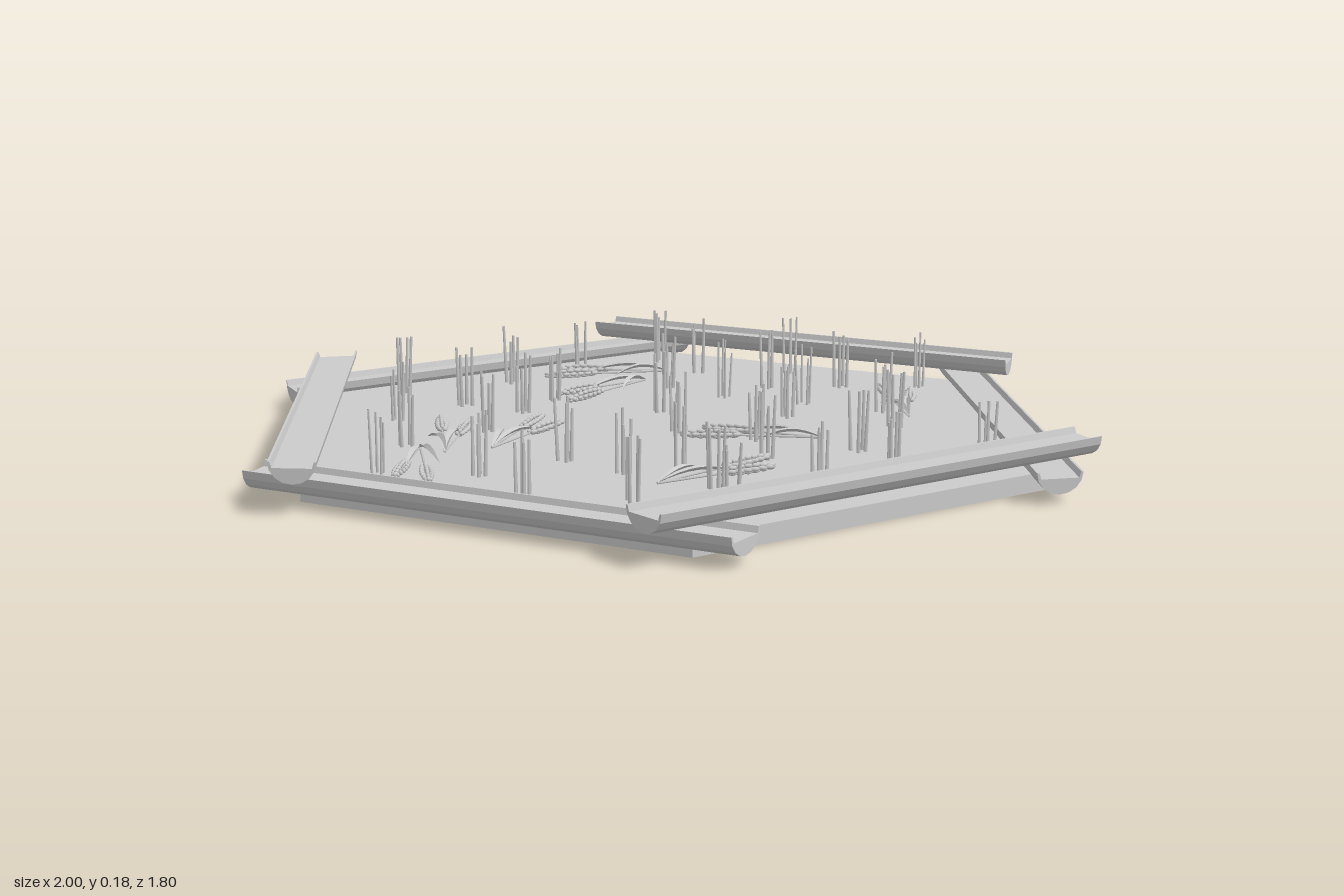
import * as THREE from 'three';
import { toCreasedNormals, mergeGeometries } from 'three/addons/utils/BufferGeometryUtils.js';

const FLOOR = 0.04;
const material = new THREE.MeshStandardMaterial({ color: 0xcccccc, side: THREE.DoubleSide });

function part(name, geometry) {
  const mesh = new THREE.Mesh(geometry, material);
  mesh.name = name;
  return mesh;
}

// Seeded random numbers from 0 to 1
let seed = 7;
function rand() {
  seed = (seed * 16807) % 2147483647;
  return seed / 2147483647;
}

// Half-round faceted log with a shallow trough on top, slightly shorter on its outer side
function logGeometry() {
  const r = 0.05, depth = 0.047, length = 1.125, sides = 8;
  const s = new THREE.Shape();
  for (let i = 0; i <= sides; i++) {
    const a = Math.PI * (1 + i / sides), x = Math.cos(a) * r, y = Math.sin(a) * depth;
    if (i === 0) s.moveTo(x, y);
    else s.lineTo(x, y);
  }
  s.lineTo(r - 0.005, 0);
  s.lineTo(r - 0.009, -0.013);
  s.lineTo(-r + 0.009, -0.013);
  s.lineTo(-r + 0.005, 0);
  s.closePath();
  const g = new THREE.ExtrudeGeometry(s, { depth: length, bevelEnabled: false });
  g.translate(0, 0, -length / 2);
  const p = g.attributes.position;
  for (let i = 0; i < p.count; i++) p.setZ(i, p.getZ(i) * (1 - 0.25 * p.getX(i)));
  return toCreasedNormals(g, 0.3);
}

// Thin straight stick between two points
function stick(a, b, r0, r1) {
  const d = new THREE.Vector3().subVectors(b, a);
  const g = new THREE.CylinderGeometry(r1, r0, d.length(), 4);
  g.applyQuaternion(new THREE.Quaternion().setFromUnitVectors(new THREE.Vector3(0, 1, 0), d.clone().normalize()));
  const m = a.clone().add(b).multiplyScalar(0.5);
  return g.translate(m.x, m.y, m.z);
}

// Cut stubble: four upright stalks, rooted just below the floor
function tuftGeometry() {
  const stalks = [];
  for (let i = 0; i < 4; i++) {
    const a = i * Math.PI / 2 + rand() * 0.8, r = 0.011 + rand() * 0.006;
    const x = Math.cos(a) * r, z = Math.sin(a) * r, lean = 1 + rand() * 0.5;
    stalks.push(stick(new THREE.Vector3(x, -0.008, z),
      new THREE.Vector3(x * lean, 0.105 + rand() * 0.04, z * lean), 0.0045, 0.003));
  }
  return mergeGeometries(stalks);
}

// Ear of grain along +x, made of paired kernels round a thin stem
function earGeometry(reach) {
  const pieces = [stick(new THREE.Vector3(0, 0, 0), new THREE.Vector3(reach, 0.006, 0), 0.003, 0.002)];
  const rows = 7, earLength = 0.11;
  for (let i = 0; i < rows; i++) {
    const t = i / (rows - 1), x = reach - earLength * (1 - t);
    const spread = 0.009 * Math.sin(Math.PI * (0.2 + 0.7 * t)) + 0.001;
    for (let k = 0; k < 4; k++) {
      const a = k * Math.PI / 2;
      const kernel = new THREE.SphereGeometry(1, 6, 4);
      kernel.scale(0.011, 0.005, 0.005);
      kernel.rotateY(-0.35 * Math.cos(a));
      kernel.translate(x + (k % 2) * 0.007, 0.006 + Math.sin(a) * spread * 0.7, Math.cos(a) * spread);
      pieces.push(kernel);
    }
  }
  return mergeGeometries(pieces);
}

// Folded, curved leaf lying along +x
function leafGeometry(length, bend) {
  const g = new THREE.PlaneGeometry(1, 1, 8, 2).rotateX(-Math.PI / 2);
  const p = g.attributes.position;
  for (let i = 0; i < p.count; i++) {
    const t = p.getX(i) + 0.5, side = p.getZ(i) * 2;
    const half = 0.008 * Math.sin(Math.PI * (t * 0.95 + 0.05));
    p.setXYZ(i, t * length, 0.015 * Math.sin(Math.PI * t) + Math.abs(side) * half, side * half + bend * t * t);
  }
  return toCreasedNormals(g, 0.5);
}

export function createModel() {
  const model = new THREE.Group();

  // Hexagonal ground sheet on a low wall, open underneath, with corners on the x axis
  const wall = part('groundWall', toCreasedNormals(
    new THREE.CylinderGeometry(0.9, 0.9, FLOOR, 6, 1, true).rotateY(Math.PI / 2), 0.3));
  wall.position.y = FLOOR / 2;
  const ground = part('ground', new THREE.CircleGeometry(0.9, 6).rotateX(-Math.PI / 2));
  ground.position.y = FLOOR;
  model.add(wall, ground);

  // Six logs, alternately resting low and high
  const log = logGeometry();
  for (let i = 0; i < 6; i++) {
    const a = Math.PI / 6 + i * Math.PI / 3, high = i % 2 === 1;
    const m = part(high ? 'upperLog' : 'lowerLog', log);
    m.position.set(Math.cos(a) * 0.783, high ? 0.113 : 0.067, -Math.sin(a) * 0.783);
    m.rotation.y = a;
    model.add(m);
  }

  // Stubble tufts (x, z)
  const tufts = [
    [-0.34, -0.66], [0.02, -0.68], [0.37, -0.67], [0.2, -0.58], [-0.19, -0.58], [0.04, -0.49],
    [-0.47, -0.47], [-0.18, -0.39], [-0.01, -0.35], [0.19, -0.37], [0.39, -0.37], [-0.55, -0.26],
    [-0.36, -0.14], [-0.08, -0.14], [0.21, -0.22], [0.47, -0.24], [-0.72, -0.03], [-0.52, 0.01],
    [-0.36, 0.01], [0.05, 0.02], [0.24, 0.02], [0.48, 0.01], [-0.58, 0.21], [-0.34, 0.21],
    [0.62, 0.16], [0.33, 0.16], [-0.05, 0.37], [0.19, 0.3], [0.53, 0.35], [-0.43, 0.41],
    [0.11, 0.41], [0.34, 0.44], [0.44, 0.58], [0.23, 0.6], [-0.15, 0.56], [-0.35, 0.64],
    [0.01, 0.66], [0.77, 0.01],
  ];
  for (const [x, z] of tufts) {
    const m = part('stubbleTuft', tuftGeometry());
    m.position.set(x, FLOOR, z);
    m.rotation.y = rand() * Math.PI;
    model.add(m);
  }

  // Fallen grain: stem end (x, z), then the direction of the ears (x, z)
  const sheaves = [
    [-0.26, -0.54, -46, 33], [-0.26, -0.42, -13, 51], [0.47, -0.33, -26, -50], [0.37, -0.05, -54, 18],
    [-0.24, 0.36, -2, -54], [-0.31, 0.44, -26, -50], [0.22, 0.47, 26, -46], [-0.38, 0.43, 26, 46],
  ];
  const longEar = earGeometry(0.3), shortEar = earGeometry(0.26);
  const longLeaf = leafGeometry(0.2, 0.02), shortLeaf = leafGeometry(0.15, -0.03);
  for (const [x, z, dx, dz] of sheaves) {
    const g = new THREE.Group();
    g.name = 'fallenGrain';
    const pieces = [['ear', longEar, 0.11], ['ear', shortEar, -0.14], ['leaf', longLeaf, -0.02], ['leaf', shortLeaf, 0.14]];
    for (const [name, geometry, turn] of pieces) {
      const m = part(name, geometry);
      m.rotation.y = turn;
      g.add(m);
    }
    g.position.set(x, FLOOR + 0.006, z);
    g.rotation.y = -Math.atan2(dz, dx);
    model.add(g);
  }
  return model;
}
